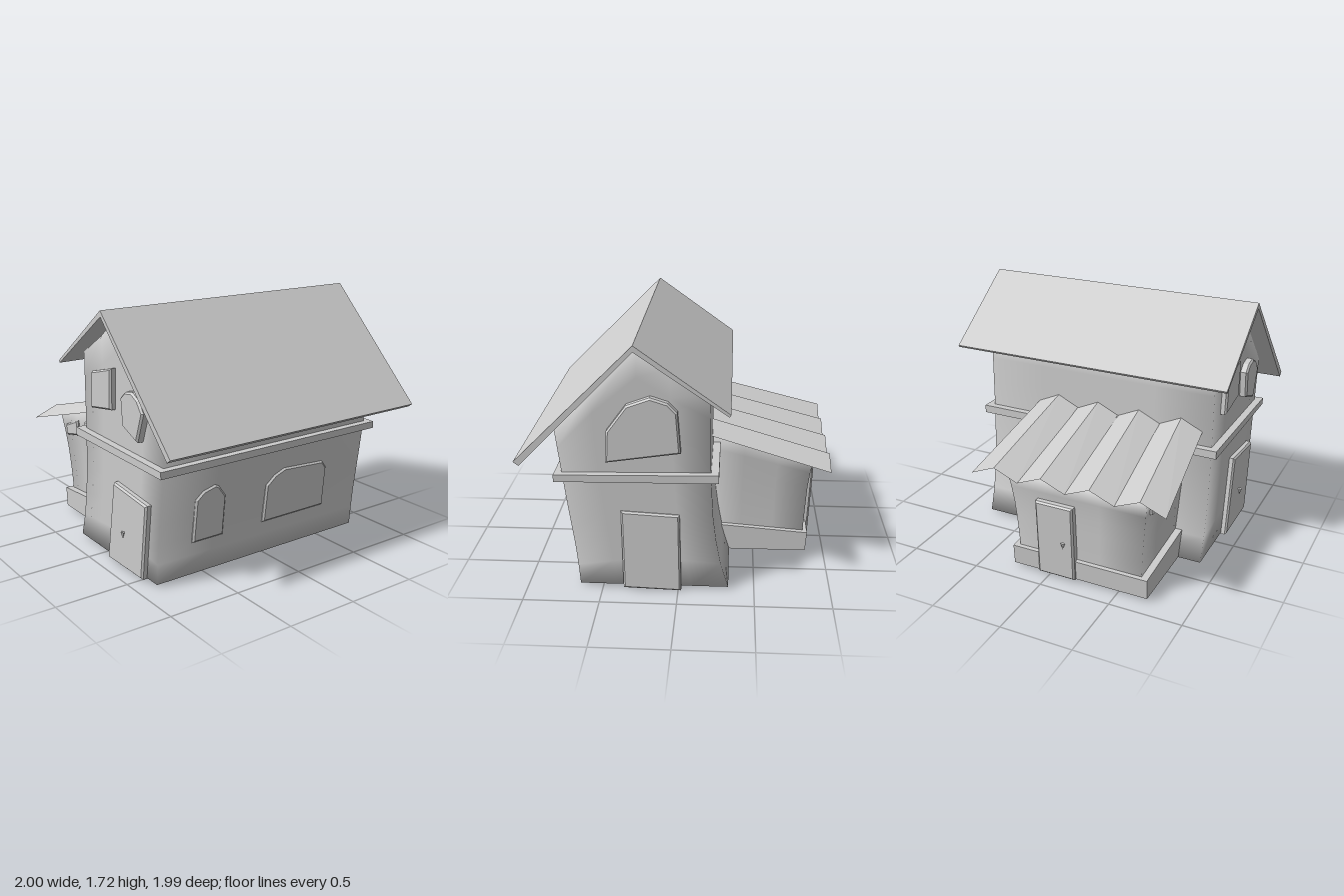
import * as THREE from 'three';
import { mergeVertices } from 'three/addons/utils/BufferGeometryUtils.js';

const material = new THREE.MeshStandardMaterial({ color: 0xcccccc });
const sheetMaterial = new THREE.MeshStandardMaterial({ color: 0xcccccc, flatShading: true, side: THREE.DoubleSide });
const { lerp } = THREE.MathUtils;

// Piecewise linear lookup in [[key, value], ...]
function along(table, k) {
  for (let i = 1; i < table.length; i++) {
    const [a, va] = table[i - 1], [b, vb] = table[i];
    if (k <= b) return lerp(va, vb, Math.max(0, (k - a) / (b - a)));
  }
  return table[table.length - 1][1];
}

function add(group, name, geometry, mat = material) {
  const mesh = new THREE.Mesh(geometry, mat);
  mesh.name = name;
  group.add(mesh);
  return mesh;
}

// A box whose unit coordinates (s, t, w) are moved by a rule
function warpedBox(segments, rule, smooth) {
  let geo = new THREE.BoxGeometry(1, 1, 1, ...segments);
  const p = geo.attributes.position;
  for (let i = 0; i < p.count; i++) {
    p.setXYZ(i, ...rule(p.getX(i) + 0.5, p.getY(i) + 0.5, p.getZ(i) + 0.5));
  }
  if (smooth) {
    geo.deleteAttribute('normal');
    geo.deleteAttribute('uv');
    geo = mergeVertices(geo);
  }
  geo.computeVertexNormals();
  return geo;
}

// Bevelled door or window; its front lies at distance `face`, tilting outwards by `lean` per unit of height
function panel(group, name, points, yaw, face, lean = 0, depth = 0.07) {
  const shape = new THREE.Shape(points.map(([u, v]) => new THREE.Vector2(u, v)));
  const bevel = 0.012;
  const geo = new THREE.ExtrudeGeometry(shape, {
    depth: depth - bevel, bevelThickness: bevel, bevelSize: bevel, bevelOffset: -bevel, bevelSegments: 1,
  });
  const p = geo.attributes.position;
  for (let i = 0; i < p.count; i++) p.setZ(i, p.getZ(i) - depth + face + lean * p.getY(i));
  geo.rotateY(yaw);
  geo.computeVertexNormals();
  return add(group, name, geo);
}

function handle(group, name, x, y, z, yaw) {
  const geo = new THREE.ConeGeometry(0.016, 0.045, 4);
  geo.rotateX(Math.PI);
  geo.rotateY(yaw);
  add(group, name, geo).position.set(x, y, z);
}

export function createModel() {
  const house = new THREE.Group();
  house.name = 'crookedHouse';

  // Main walls: leaning, curved sides up to the gable
  const leftSide = [[0.02, -0.33], [0.2, -0.275], [0.45, -0.23], [0.8, -0.21], [1.38, -0.2]];
  const rightSide = [[0.02, 0.65], [0.25, 0.668], [0.6, 0.715], [0.8, 0.74], [1.13, 0.78]];
  const gable = [[0, 1.365], [0.5, 1.665], [1, 1.13]];
  add(house, 'mainWalls', warpedBox([4, 8, 4], (s, t, w) => {
    const y = lerp(0.02, along(gable, s), t);
    const across = s === 0.5 ? lerp(0.5, 0.46, t) : s;
    return [lerp(along(leftSide, y), along(rightSide, y), across), y, lerp(-0.8, 0.87, w)];
  }, true));

  // Main roof
  const roofProfile = [[-0.33, 1.3], [-0.32, 1.285], [0.25, 1.675], [0.965, 0.945], [1, 0.97], [0.25, 1.715]];
  const roof = new THREE.ExtrudeGeometry(
    new THREE.Shape(roofProfile.map(([x, y]) => new THREE.Vector2(x, y))), { depth: 1.99, bevelEnabled: false });
  roof.translate(0, 0, -1);
  add(house, 'mainRoof', roof);

  // Belt course around the walls
  add(house, 'beltCourse', warpedBox([1, 1, 1], (s, t, w) => [
    lerp(-0.26, 0.79, s), t ? lerp(0.84, 0.822, s) : lerp(0.785, 0.775, s), lerp(-0.85, 0.92, w)]));

  // Side extension
  const sideProfile = [[0.02, -0.85], [0.16, -0.85], [0.55, -0.87], [0.74, -0.9]];
  add(house, 'extensionWalls', warpedBox([3, 6, 3], (s, t, w) => {
    const y = lerp(0.03, lerp(0.738, 0.945, s), t);
    const flare = 0.05 * t * t;
    return [lerp(along(sideProfile, y), -0.19, s), y, lerp(-0.23 - flare, 0.66 + flare, w)];
  }, true));
  add(house, 'extensionPlinth', warpedBox([1, 1, 1], (s, t, w) => [
    s ? -0.24 : lerp(-0.87, -0.88, t), t ? lerp(0.16, 0.21, s) : 0.02, lerp(-0.27, 0.71, w)]));

  // Folded extension roof: eight strips, alternately rising and falling
  const positions = [], index = [];
  for (let i = 0; i <= 8; i++) {
    const lift = i % 2 ? 0.07 : 0;
    positions.push(-1, 0.72 + lift, lerp(-0.485, 0.875, i / 8));
    positions.push(-0.2, 0.94 + lift, lerp(-0.42, 0.8, i / 8));
    if (i < 8) {
      const a = 2 * i;
      index.push(a, a + 2, a + 1, a + 1, a + 2, a + 3);
    }
  }
  const folded = new THREE.BufferGeometry();
  folded.setAttribute('position', new THREE.Float32BufferAttribute(positions, 3));
  folded.setIndex(index);
  folded.computeVertexNormals();
  add(house, 'extensionRoof', folded, sheetMaterial);

  // Front door and windows
  panel(house, 'frontDoor', [[0.1, 0.012], [0.53, 0.015], [0.6, 0.54], [0.2, 0.578]], 0, 0.91);
  handle(house, 'frontDoorHandle', 0.33, 0.257, 0.922, 0);
  panel(house, 'frontSquareWindow', [[-0.065, 1.02], [0.195, 1.06], [0.207, 1.335], [-0.045, 1.27]], 0, 0.91);
  panel(house, 'frontArchedWindow', [[0.35, 0.995], [0.52, 0.93], [0.595, 1.13], [0.54, 1.205], [0.47, 1.24],
    [0.39, 1.225], [0.335, 1.18]], 0, 0.92, 0, 0.09);
  panel(house, 'extensionWindow', [[-0.81, 0.605], [-0.64, 0.64], [-0.64, 0.755], [-0.82, 0.685]], 0, 0.72);
  panel(house, 'extensionWindow', [[-0.545, 0.66], [-0.34, 0.695], [-0.325, 0.83], [-0.535, 0.775]], 0, 0.72);

  // Arched windows on the left wall
  const quarter = Math.PI / 2;
  panel(house, 'smallSideWindow', [[-0.62, 0.25], [-0.38, 0.25], [-0.38, 0.53], [-0.44, 0.61], [-0.47, 0.625],
    [-0.56, 0.6], [-0.615, 0.55]], quarter, 0.66, 0.112);
  panel(house, 'largeSideWindow', [[-0.05, 0.25], [0.49, 0.25], [0.485, 0.54], [0.44, 0.595], [0.1, 0.615],
    [0.02, 0.58], [-0.045, 0.52]], quarter, 0.66, 0.112);

  // Back door and gable window
  panel(house, 'backDoor', [[-0.36, 0.012], [0.02, 0], [0.01, 0.54], [-0.37, 0.56]], Math.PI, 0.84, -0.04);
  panel(house, 'backArchedWindow', [[-0.455, 0.91], [0.02, 0.98], [0, 1.25], [-0.06, 1.31], [-0.17, 1.345],
    [-0.32, 1.29], [-0.445, 1.12]], Math.PI, 0.85);

  // Extension door
  panel(house, 'extensionDoor', [[-0.07, 0.02], [0.2, 0.02], [0.2, 0.57], [-0.07, 0.57]], -quarter, 0.895, 0.045);
  handle(house, 'extensionDoorHandle', -0.918, 0.28, 0.13, quarter);

  return house;
}
